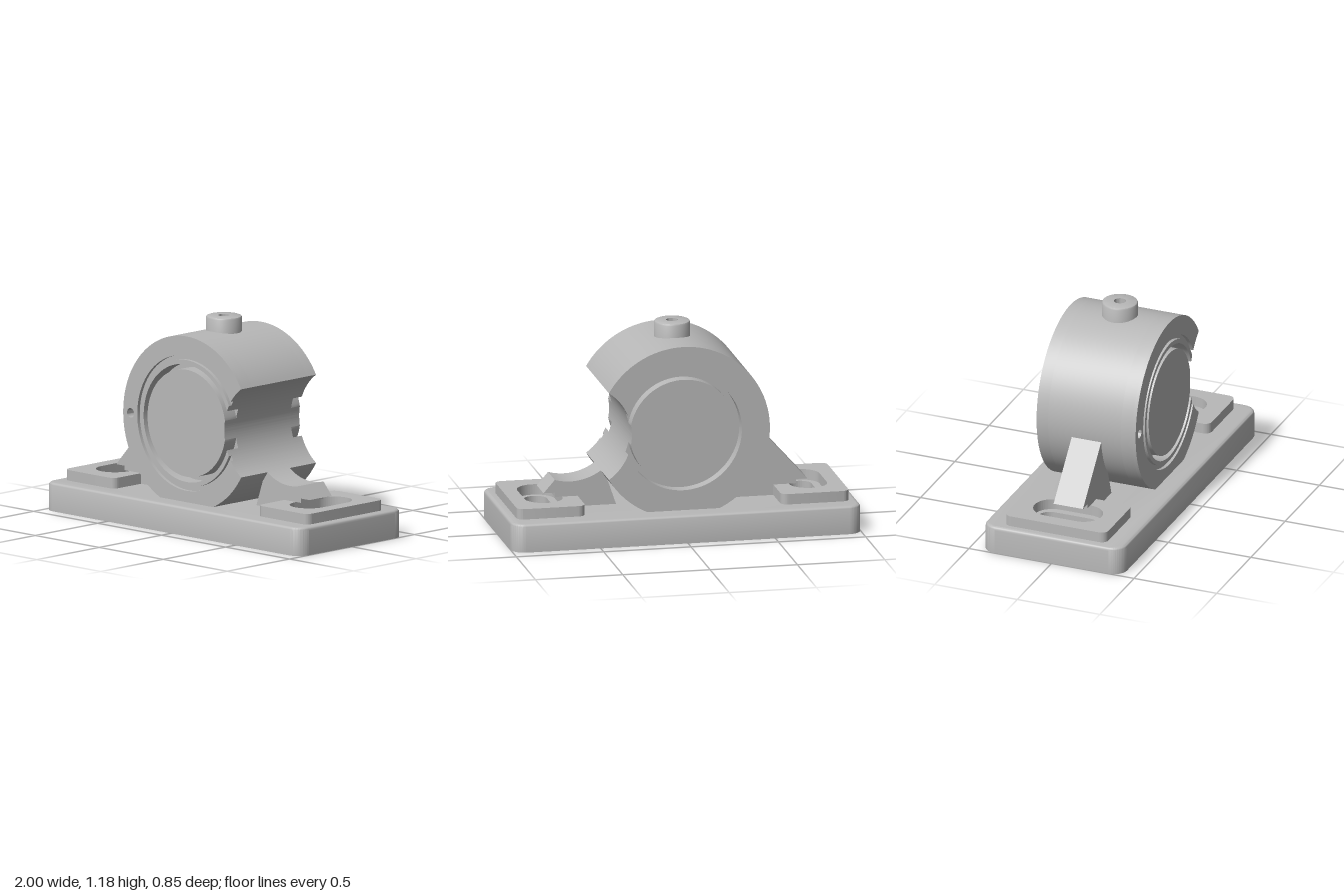
import * as THREE from 'three';
import { toCreasedNormals } from 'three/addons/utils/BufferGeometryUtils.js';

const CY = 0.61;               // bore axis height
const BITE_X = 0.6, BITE_R = 0.305; // cylindrical cutaway on the +x side

export function createModel() {
  const model = new THREE.Group();
  const grey = new THREE.MeshStandardMaterial({ color: 0xb8b8b8 });
  grey.name = 'castGrey';

  const add = (name, geometry, parent = model) => {
    const mesh = new THREE.Mesh(toCreasedNormals(geometry, 0.6), grey);
    mesh.name = name;
    parent.add(mesh);
    return mesh;
  };
  const extrude = (shape, depth, steps = 1) =>
    new THREE.ExtrudeGeometry(shape, { depth, steps, bevelEnabled: false, curveSegments: 48 });

  // Outline helpers
  const roundedRect = (cx, hx, hy, r) => {
    const s = new THREE.Shape();
    s.absarc(cx + hx - r, hy - r, r, 0, Math.PI / 2);
    s.absarc(cx - hx + r, hy - r, r, Math.PI / 2, Math.PI);
    s.absarc(cx - hx + r, -hy + r, r, Math.PI, Math.PI * 1.5);
    s.absarc(cx + hx - r, -hy + r, r, Math.PI * 1.5, Math.PI * 2);
    s.closePath();
    return s;
  };
  const slot = (cx, r, half) => {
    const p = new THREE.Path();
    p.absarc(cx, half, r, 0, Math.PI);
    p.absarc(cx, -half, r, Math.PI, Math.PI * 2);
    p.closePath();
    return p;
  };

  // Base plate with two through slots and a rounded top edge
  const HX = 1, HZ = 0.425, R = 0.08, F = 0.02, H = 0.16;
  const plate = roundedRect(0, HX, HZ, R);
  for (const s of [-1, 1]) plate.holes.push(slot(s * 0.757, 0.065, 0.111));
  const baseGeo = extrude(plate, H, 5);
  const pos = baseGeo.attributes.position;
  for (let i = 0; i < pos.count; i++) {
    const level = Math.round(pos.getZ(i) / H * 5);
    const t = Math.max(0, level - 1) / 4 * Math.PI / 2;
    const x = pos.getX(i), y = pos.getY(i);
    const kx = THREE.MathUtils.clamp(x, -HX + R, HX - R);
    const ky = THREE.MathUtils.clamp(y, -HZ + R, HZ - R);
    const k = 1 - F * (1 - Math.cos(t)) / R;
    pos.setXYZ(i, kx + (x - kx) * k, ky + (y - ky) * k,
      level === 0 ? 0 : H - F + F * Math.sin(t));
  }
  add('basePlate', baseGeo.rotateX(-Math.PI / 2));

  // Raised mounting pads with wider slots
  for (const s of [-1, 1]) {
    const pad = roundedRect(s * 0.755, 0.195, 0.308, 0.04);
    pad.holes.push(slot(s * 0.757, 0.108, 0.095));
    add(s > 0 ? 'leftPad' : 'rightPad', extrude(pad, 0.06).rotateX(-Math.PI / 2)).position.y = H;
  }

  // Ring or disc about the bore axis, minus the cutaway
  const crossing = r => Math.acos((r * r + BITE_X ** 2 - BITE_R ** 2) / (2 * r * BITE_X));
  const biteAngle = r => {
    const a = crossing(r);
    return Math.atan2(r * Math.sin(a), r * Math.cos(a) - BITE_X);
  };
  const cutRing = (outer, inner = 0) => {
    const s = new THREE.Shape(), T = Math.PI * 2;
    const a = crossing(outer), b = biteAngle(outer);
    s.absarc(0, 0, outer, a, T - a, false);
    if (inner) {
      const c = crossing(inner), d = biteAngle(inner);
      s.absarc(BITE_X, 0, BITE_R, T - b, T - d, true);
      s.absarc(0, 0, inner, T - c, c, true);
      s.absarc(BITE_X, 0, BITE_R, d, b, true);
    } else {
      s.absarc(BITE_X, 0, BITE_R, T - b, b, true);
    }
    s.closePath();
    return s;
  };

  // Bearing housing: layers along z leave the end grooves open
  const housing = new THREE.Group();
  housing.name = 'housing';
  housing.position.y = CY;
  model.add(housing);
  const layers = [
    ['backRim', 0.495, 0.335, -0.3, -0.23],
    ['backCap', 0.305, 0, -0.3, -0.23],
    ['housingCore', 0.495, 0, -0.23, 0.21],
    ['frontRim', 0.495, 0.335, 0.21, 0.28, true],
    ['frontOuterLip', 0.495, 0.385, 0.28, 0.3, true],
    ['frontInnerLip', 0.36, 0.335, 0.28, 0.3],
    ['frontCap', 0.305, 0, 0.21, 0.3],
  ];
  for (const [name, outer, inner, z0, z1, pinHole] of layers) {
    const shape = cutRing(outer, inner);
    if (pinHole) shape.holes.push(new THREE.Path().absarc(-0.437, 0, 0.027, 0, Math.PI * 2));
    add(name, extrude(shape, z1 - z0).translate(0, 0, z0), housing);
  }

  // Side gussets; the left one is trimmed by the cutaway
  for (const s of [-1, 1]) {
    const g = new THREE.Shape();
    g.moveTo(s * 0.34, 0.16);
    g.lineTo(s * 0.56, 0.16);
    g.lineTo(s * 0.56, 0.22);
    g.lineTo(s * 0.69, 0.22);
    g.lineTo(s * 0.69, 0.245);
    g.lineTo(s * 0.755, 0.245);
    if (s > 0) {
      const b = biteAngle(0.495);
      g.absarc(BITE_X, CY, BITE_R, -1.27, -b, true);
    } else {
      g.lineTo(-0.48, 0.552);
      g.lineTo(-0.44, 0.5);
    }
    g.lineTo(s * 0.392, 0.312);
    g.closePath();
    add(s > 0 ? 'leftGusset' : 'rightGusset', extrude(g, 0.178).translate(0, 0, -0.089));
  }

  // Lubrication boss with a small blind hole
  const profile = [
    [0, 1.12], [0.033, 1.12], [0.033, 1.185], [0.09, 1.185],
    [0.098, 1.181], [0.102, 1.173], [0.102, 1.03],
  ].map(([x, y]) => new THREE.Vector2(x, y)).reverse();
  add('topBoss', new THREE.LatheGeometry(profile, 48));

  return model;
}
